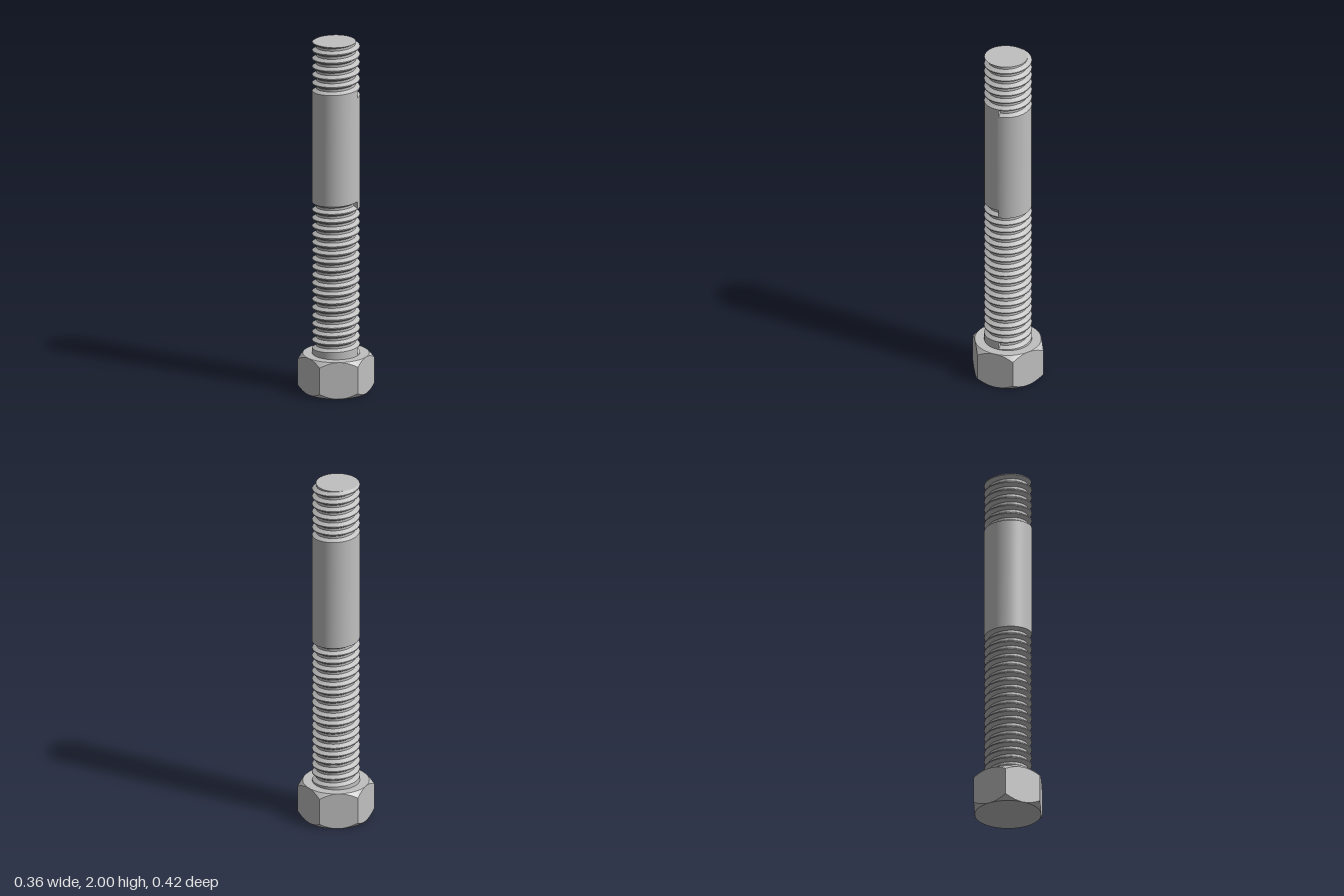
import * as THREE from 'three';
import { toCreasedNormals } from 'three/addons/utils/BufferGeometryUtils.js';

const SEG = 72;
const R = 0.1305, ROOT = 0.107;          // crest and root radius of the rod
const HEAD_H = 0.21, TOP = 2;
const COLLAR_TOP = 0.26, TURNS = 18, PITCH = 0.0467;
const SHANK_LOW = COLLAR_TOP + TURNS * PITCH, SHANK_HIGH = 1.735;

// One groove of the thread as [radius, height] steps
const FLANK = 0.29 * PITCH, FLAT = 0.29 * PITCH;
const GROOVE = [[R, 0], [ROOT, FLANK], [ROOT, FLANK + FLAT], [R, 2 * FLANK + FLAT]];

// Surface through a [radius, height] profile that may change with the angle
function sweep(profileAt) {
  const pos = [], index = [];
  let n = 0;
  for (let i = 0; i <= SEG; i++) {
    const t = (i / SEG) * Math.PI * 2;
    const profile = profileAt(t);
    n = profile.length;
    for (const [r, y] of profile) pos.push(r * Math.cos(t), y, r * Math.sin(t));
  }
  for (let i = 0; i < SEG; i++) {
    for (let j = 0; j < n - 1; j++) {
      const a = i * n + j, c = a + n;
      index.push(a, a + 1, c, c, a + 1, c + 1);
    }
  }
  const g = new THREE.BufferGeometry();
  g.setAttribute('position', new THREE.Float32BufferAttribute(pos, 3));
  g.setIndex(index);
  return toCreasedNormals(g, 0.5);
}

// Hexagon with its corners cut by a cone at both ends
function headProfile(t) {
  const apothem = 0.182, side = Math.PI / 3;
  const r = apothem / Math.cos(t - Math.round(t / side) * side);
  const drop = (r - apothem) * 1.05;
  return [[0, 0], [apothem, 0], [r, drop], [r, HEAD_H - drop], [apothem, HEAD_H], [0, HEAD_H]];
}

// Collar, long thread, plain shank and short thread, sinking one pitch per turn
function rodProfile(t) {
  const sink = (t / (Math.PI * 2)) * PITCH;
  const points = [[R, HEAD_H]];
  const addThread = (start, turns) => {
    for (let k = 0; k < turns; k++) {
      for (const [r, y] of GROOVE) points.push([r, start + k * PITCH + y - sink]);
    }
    points.push([R, start + turns * PITCH - sink]);
  };
  addThread(COLLAR_TOP, TURNS);
  addThread(SHANK_HIGH, 7);
  // cut the thread off level at the tip
  const cut = points.findIndex(([, y]) => y > TOP);
  if (cut > 0) {
    const [r0, y0] = points[cut - 1], [r1, y1] = points[cut];
    const r = r0 + ((r1 - r0) * (TOP - y0)) / (y1 - y0);
    for (let k = cut; k < points.length; k++) points[k] = [r, TOP];
  }
  return points;
}

export function createModel() {
  const steel = new THREE.MeshStandardMaterial({ color: 0xc0c0c0 });
  steel.name = 'steel grey';
  const steelThin = new THREE.MeshStandardMaterial({ color: 0xc0c0c0, side: THREE.DoubleSide });
  steelThin.name = 'steel grey two-sided';

  const group = new THREE.Group();
  group.name = 'bolt';
  const add = (name, geometry, material = steel) => {
    const mesh = new THREE.Mesh(geometry, material);
    mesh.name = name;
    group.add(mesh);
    return mesh;
  };

  add('hexHead', sweep(headProfile));
  add('threadedRod', sweep(rodProfile));

  // Flat tip following the cut thread
  const outline = [];
  for (let i = 0; i < SEG; i++) {
    const t = (i / SEG) * Math.PI * 2;
    const r = rodProfile(t).at(-1)[0];
    outline.push(new THREE.Vector2(r * Math.cos(t), -r * Math.sin(t)));
  }
  const tip = add('tipFace', new THREE.ShapeGeometry(new THREE.Shape(outline)));
  tip.rotation.x = -Math.PI / 2;
  tip.position.y = TOP;

  // Upright walls where the grooves run out
  const wall = new THREE.ShapeGeometry(
    new THREE.Shape(GROOVE.map(([r, y]) => new THREE.Vector2(r, y))));
  for (const y of [COLLAR_TOP, SHANK_LOW, SHANK_HIGH]) {
    add('grooveEnd', wall, steelThin).position.y = y - PITCH;
  }
  return group;
}
